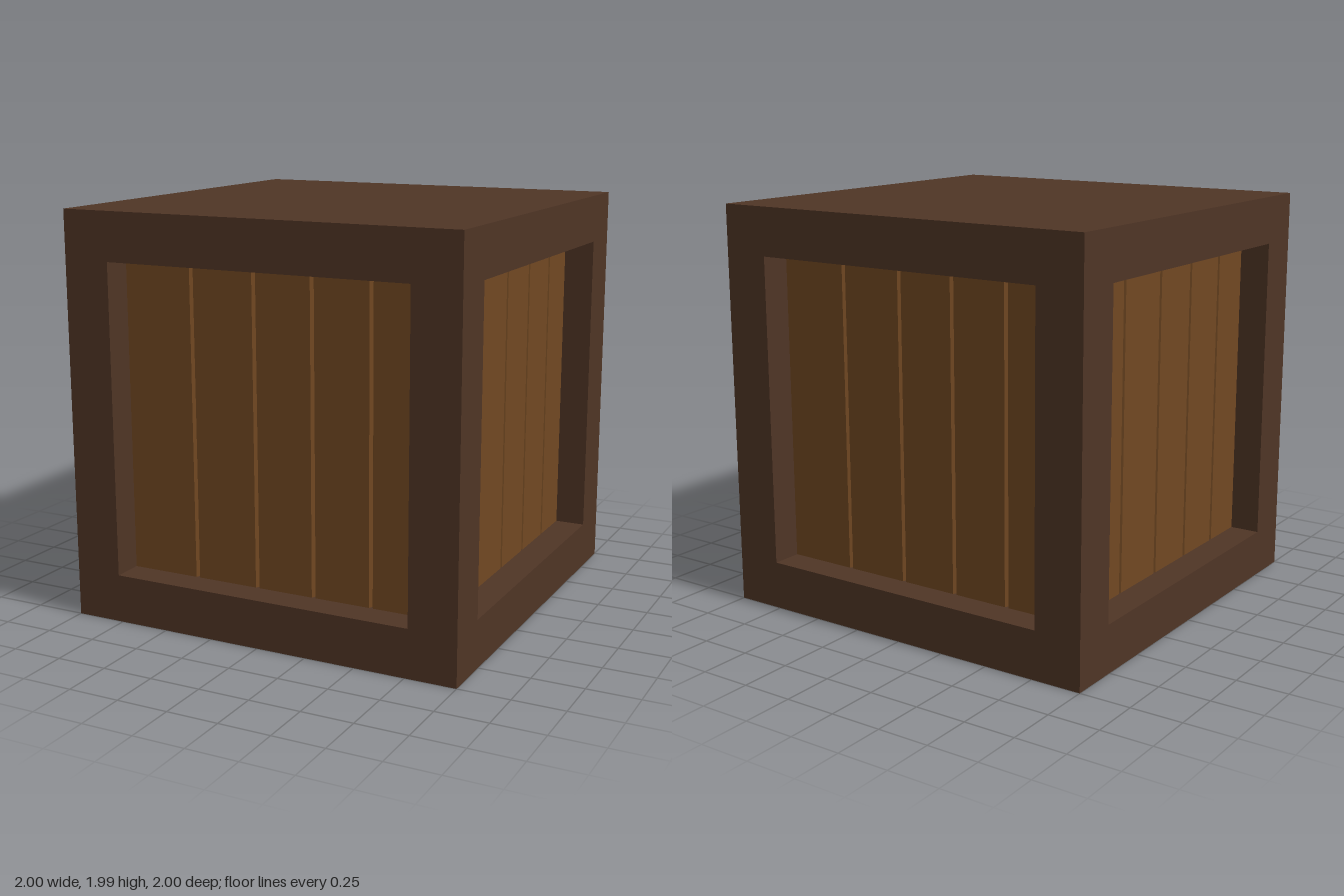
import * as THREE from 'three';

export function createModel() {
  const crate = new THREE.Group();
  crate.name = 'crate';
  const frameWood = new THREE.MeshStandardMaterial({ color: 0x4f3525 });
  frameWood.name = 'dark frame wood';
  const plankWood = new THREE.MeshStandardMaterial({ color: 0x714822 });
  plankWood.name = 'plank wood';

  const height = 1.99, rim = 0.235, opening = 1 - rim;
  const face = 0.85; // distance of the recessed planks from the centre
  const grooves = [-0.407, -0.077, 0.221, 0.514];

  function addBox(name, w, h, d, x, y, z) {
    const mesh = new THREE.Mesh(new THREE.BoxGeometry(w, h, d), frameWood);
    mesh.name = name;
    mesh.position.set(x, y, z);
    crate.add(mesh);
  }

  // Lid, base and corner posts
  addBox('base', 2, rim, 2, 0, rim / 2, 0);
  addBox('lid', 2, rim, 2, 0, height - rim / 2, 0);
  const postHeight = height - 2 * rim;
  for (const sx of [-1, 1]) for (const sz of [-1, 1]) {
    addBox('cornerPost', rim, postHeight, rim, sx * (1 - rim / 2), height / 2, sz * (1 - rim / 2));
  }

  // Plank panel: a flat section with narrow grooves, extruded upwards
  const section = new THREE.Shape();
  section.moveTo(-opening, -face + 0.06);
  section.lineTo(-opening, -face);
  for (const x of grooves) {
    section.lineTo(x - 0.01, -face);
    section.lineTo(x, -face + 0.02);
    section.lineTo(x + 0.01, -face);
  }
  section.lineTo(opening, -face);
  section.lineTo(opening, -face + 0.06);
  section.closePath();
  const panelGeometry = new THREE.ExtrudeGeometry(section, { depth: postHeight, bevelEnabled: false });
  panelGeometry.rotateX(-Math.PI / 2);

  // The same panel on all four sides
  ['frontPanel', 'leftPanel', 'backPanel', 'rightPanel'].forEach((name, i) => {
    const panel = new THREE.Mesh(panelGeometry, plankWood);
    panel.name = name;
    panel.position.y = rim;
    panel.rotation.y = i * Math.PI / 2;
    crate.add(panel);
  });

  return crate;
}
